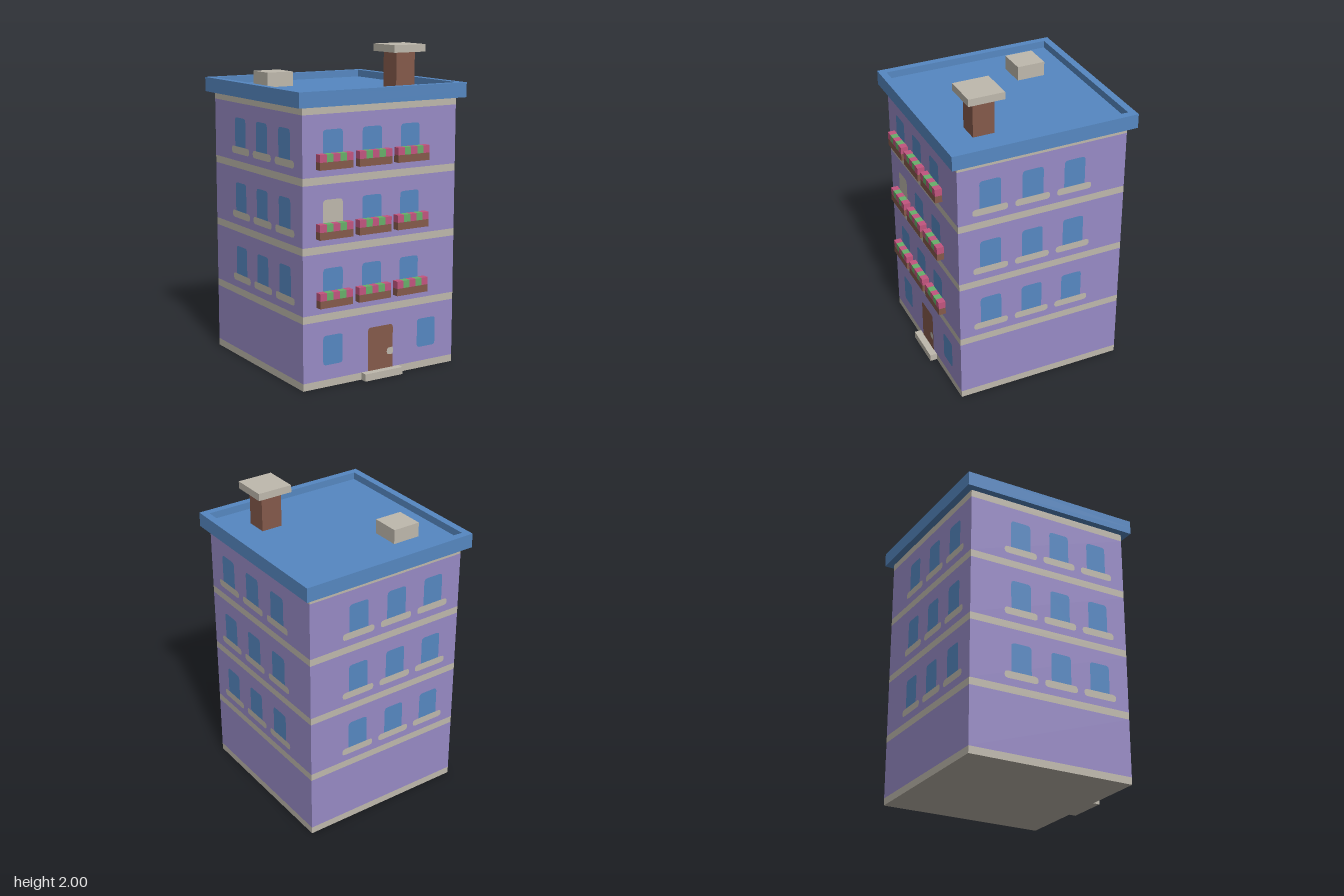
import * as THREE from 'three';

const U = 1 / 22; // one building module; the house is 44 modules tall
const mat = (name, color) => {
  const m = new THREE.MeshStandardMaterial({ color });
  m.name = name;
  return m;
};

export function createModel() {
  const wall = mat('lilac wall', 0x988bc6);
  const blue = mat('blue', 0x5688c2);
  const stone = mat('pale stone', 0xbfb9ad);
  const brown = mat('brown', 0x855a4b);
  const pink = mat('pink flowers', 0xc2557f);
  const green = mat('green leaves', 0x68b06a);

  const house = new THREE.Group();
  house.name = 'apartmentHouse';

  // Box given by its corner coordinates in modules
  function box(name, material, [x0, x1], [y0, y1], [z0, z1], parent = house) {
    const mesh = new THREE.Mesh(
      new THREE.BoxGeometry((x1 - x0) * U, (y1 - y0) * U, (z1 - z0) * U), material);
    mesh.position.set((x0 + x1) / 2 * U, (y0 + y1) / 2 * U, (z0 + z1) / 2 * U);
    mesh.name = name;
    parent.add(mesh);
    return mesh;
  }

  // Flat panel with clipped corners: top left, top right, bottom right, bottom left
  function panel(name, material, x0, x1, y0, y1, corners, parent, lift = 0.002) {
    const [a, b, c, d] = corners.map((k) => k * U);
    const [l, r, lo, hi] = [x0 * U, x1 * U, y0 * U, y1 * U];
    const s = new THREE.Shape();
    s.moveTo(l, lo + d);
    s.quadraticCurveTo(l, lo, l + d, lo);
    s.lineTo(r - c, lo);
    s.quadraticCurveTo(r, lo, r, lo + c);
    s.lineTo(r, hi - b);
    s.quadraticCurveTo(r, hi, r - b, hi);
    s.lineTo(l + a, hi);
    s.quadraticCurveTo(l, hi, l, hi - a);
    const mesh = new THREE.Mesh(new THREE.ShapeGeometry(s, 3), material);
    mesh.position.z = 12 * U + lift;
    mesh.name = name;
    parent.add(mesh);
  }

  // Four storeys, each a stone course with wall above, and a top course
  const side = [-12, 12];
  for (let f = 0; f < 4; f++) {
    box('stoneCourse', stone, side, [f * 9, f * 9 + 1], side);
    box('storeyWall', wall, side, [f * 9 + 1, f * 9 + 9], side);
  }
  box('stoneCourse', stone, side, [36, 37], side);

  // Facades: the back and the left-hand wall mirror the window spacing
  const columns = [-9, -3, 3];
  const facades = [['front', 0, 1], ['rightSide', Math.PI / 2, 1],
    ['back', Math.PI, -1], ['leftSide', -Math.PI / 2, -1]];
  for (const [name, angle, dir] of facades) {
    const facade = new THREE.Group();
    facade.name = name + 'Facade';
    facade.rotation.y = angle;
    house.add(facade);
    for (let f = 1; f < 4; f++) {
      const y = f * 9 + 3;
      columns.forEach((c, i) => {
        const x = dir > 0 ? c : -c - 3;
        const blind = name === 'front' && f === 2 && i === 0;
        panel(blind ? 'closedWindow' : 'window', blind ? stone : blue,
          x, x + 3, y, y + 4, [0.5, 0.5, 0, 0], facade);
        if (name === 'front') flowerBox(x - 1, y - 1, facade);
        else panel('windowSill', stone, x - 1, x + 4, y - 1, y, [0.5, 0.5, 0.5, 0.5], facade);
      });
    }
    if (name === 'front') {
      for (const x of [-9, 6]) {
        panel('groundWindow', blue, x, x + 3, 3, 7, [0.45, 0.45, 0.45, 0.45], facade);
      }
      panel('door', brown, -2, 2, 1, 7, [0.45, 0.45, 0, 0], facade);
      panel('doorKnob', stone, 1, 2, 2.8, 3.8, [0.5, 0.2, 0.2, 0.5], facade, 0.004);
    }
  }

  // Planter with alternating flowers and leaves
  function flowerBox(x, y, parent) {
    const planter = new THREE.Group();
    planter.name = 'flowerBox';
    parent.add(planter);
    box('planter', brown, [x, x + 5], [y, y + 1], [12, 13], planter);
    for (let i = 0; i < 5; i++) {
      box(i % 2 ? 'leaves' : 'flowers', i % 2 ? green : pink,
        [x + i, x + i + 1], [y + 1, y + 2], [12, 13], planter);
    }
  }

  box('doorStep', stone, [-3, 3], [0, 1], [12, 13]);

  // Roof slab with a raised rim
  box('roofSlab', blue, [-13, 13], [37, 38], [-13, 13]);
  const square = (Type, h) => new Type([[-h, -h], [h, -h], [h, h], [-h, h]]
    .map(([x, y]) => new THREE.Vector2(x * U, y * U)));
  const rimShape = square(THREE.Shape, 13);
  rimShape.holes.push(square(THREE.Path, 12));
  const rim = new THREE.Mesh(
    new THREE.ExtrudeGeometry(rimShape, { depth: U, bevelEnabled: false }), blue);
  rim.rotation.x = -Math.PI / 2;
  rim.position.y = 38 * U;
  rim.name = 'roofRim';
  house.add(rim);

  // Roof hatch and chimney
  box('roofHatch', stone, [-8, -4], [38, 40], [-8, -4]);
  box('chimney', brown, [5, 8], [38, 43], [5, 8]);
  box('chimneyCap', stone, [4, 9], [43, 44], [4, 9]);

  return house;
}
